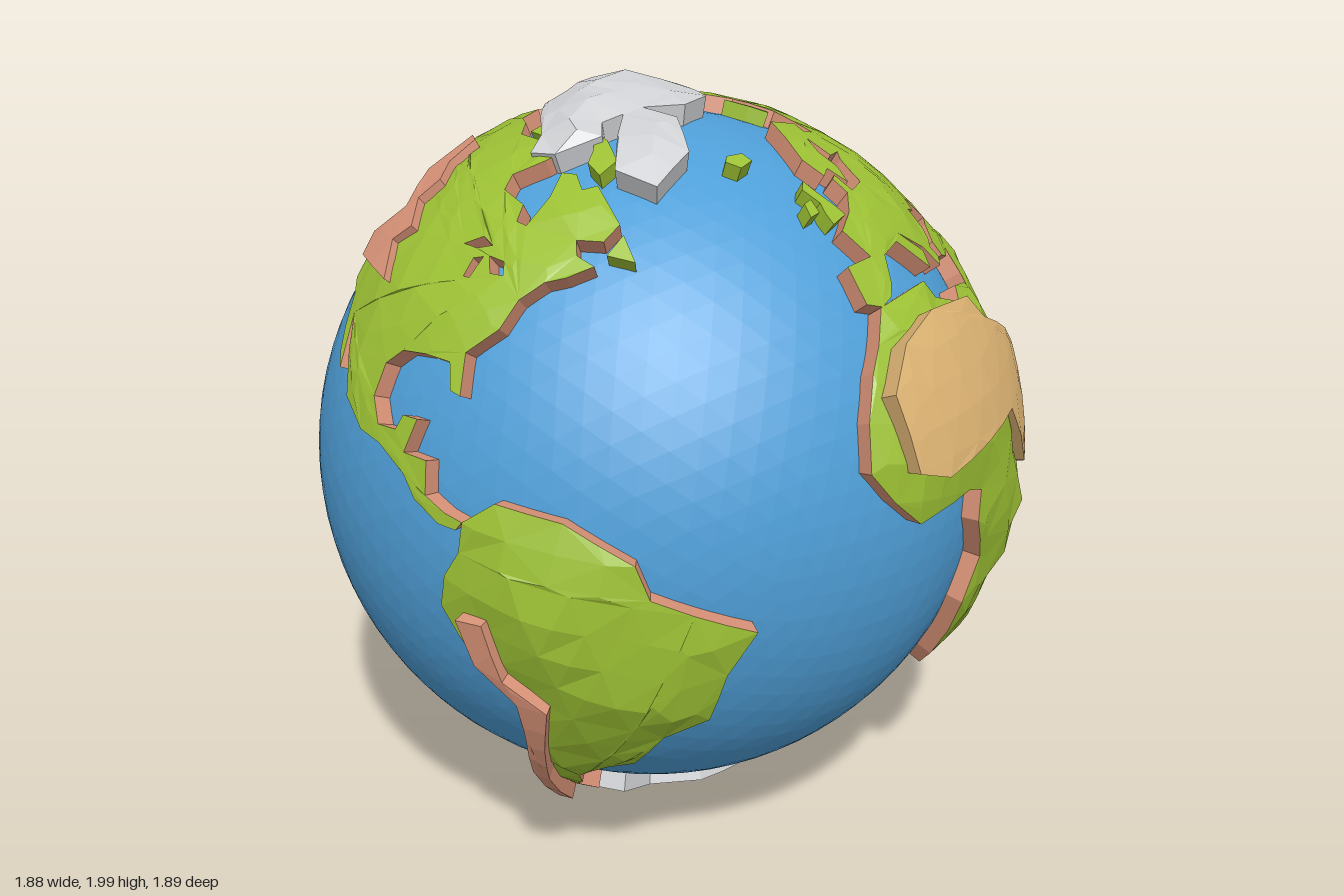
import * as THREE from 'three';

const OCEAN_R = 0.9, COAST_R = 0.945, MAX_EDGE = 0.15;
const mat = (name, color, side = THREE.FrontSide) =>
  Object.assign(new THREE.MeshStandardMaterial({ color, side }), { name });

// unit direction from longitude and latitude in degrees
function dir(lon, lat) {
  const a = lon * Math.PI / 180, b = lat * Math.PI / 180;
  return new THREE.Vector3(Math.cos(b) * Math.cos(a), Math.sin(b), -Math.cos(b) * Math.sin(a));
}
const pairs = (flat, fn) => Array.from({ length: flat.length / 2 }, (_, i) => fn(flat[2 * i], flat[2 * i + 1]));
const lonLat = flat => pairs(flat, dir);
// direction from flat x, z offsets around a pole
const polar = (flat, sign) => pairs(flat, (x, z) =>
  new THREE.Vector3(x, sign * Math.sqrt(0.9 - x * x - z * z), z).normalize());
const mid = (a, b) => a.clone().add(b).normalize();

// halve the longest edge until every edge is short
function split(a, b, c, out) {
  const l = [a.distanceTo(b), b.distanceTo(c), c.distanceTo(a)], m = Math.max(...l);
  if (m <= MAX_EDGE) { out.push(a, b, c); return; }
  const [p, q, r] = m === l[0] ? [a, b, c] : m === l[1] ? [b, c, a] : [c, a, b];
  const h = mid(p, q);
  split(p, h, r, out);
  split(h, q, r, out);
}
function splitEdge(a, b, out) {
  if (a.distanceTo(b) <= MAX_EDGE) { out.push(a); return; }
  const h = mid(a, b);
  splitEdge(a, h, out);
  splitEdge(h, b, out);
}
function flatMesh(points, material, name) {
  const g = new THREE.BufferGeometry().setFromPoints(points);
  g.computeVertexNormals();
  const m = new THREE.Mesh(g, material);
  m.name = name;
  return m;
}
const noise = p => Math.sin(9 * p.x + 4 * p.y) * Math.sin(11 * p.y + 3) * Math.cos(10 * p.z - 2 * p.x);

// raised patch of crust: faceted top, hilly away from the rim, with steep cliffs
function crust(name, outline, top, cliff, { rim = COAST_R, hills = 0, reach = 0.2, base = 0.885, holes = [] } = {}) {
  const centre = outline.reduce((s, p) => s.add(p), new THREE.Vector3()).normalize();
  const east = new THREE.Vector3(0.31, 0.9, 0.17).cross(centre).normalize();
  const north = centre.clone().cross(east);
  const flat = p => new THREE.Vector2(p.dot(east), p.dot(north)).divideScalar(1 + p.dot(centre));
  const loops = [outline, ...holes].map((loop, i) =>
    THREE.ShapeUtils.isClockWise(loop.map(flat)) === (i > 0) ? loop : [...loop].reverse());
  const all = loops.flat(), flats = loops.map(l => l.map(flat));
  const tris = [];
  for (const [i, j, k] of THREE.ShapeUtils.triangulateShape(flats[0], flats.slice(1))) {
    const [a, b, c] = [all[i], all[j], all[k]];
    const u = flat(b).sub(flat(a)), v = flat(c).sub(flat(a));
    if (u.cross(v) > 0) split(a, b, c, tris); else split(a, c, b, tris);
  }
  const rims = loops.map(l => {
    const out = [];
    l.forEach((p, i) => splitEdge(p, l[(i + 1) % l.length], out));
    return out;
  });
  const edge = rims.flat();
  const raise = p => {
    const d = Math.min(...edge.map(e => e.distanceTo(p)));
    return p.clone().multiplyScalar(rim + hills * Math.min(1, d / reach) * (0.8 + 0.5 * noise(p)));
  };
  const walls = [];
  for (const l of rims) l.forEach((p, i) => {
    const q = l[(i + 1) % l.length];
    const at = (v, r) => v.clone().multiplyScalar(r);
    walls.push(at(p, base), at(q, base), at(q, rim), at(p, base), at(q, rim), at(p, rim));
  });
  const g = new THREE.Group();
  g.name = name;
  g.add(flatMesh(tris.map(raise), top, name + 'Top'), flatMesh(walls, cliff, name + 'Cliffs'));
  return g;
}

// continents: outline as lon, lat pairs
const northAmerica = [-168, 66, -156, 71, -141, 69.5, -128, 70, -115, 68, -95, 68, -94, 71, -86, 68, -82, 68, -87, 64,
  -94, 60, -92, 57, -83, 55, -82, 52, -79, 51.5, -77, 57, -78, 62, -73, 62, -69, 59, -65, 60, -57, 53, -60, 50, -66, 50,
  -65, 47.5, -61, 46, -66, 44, -70, 43, -74, 40, -76, 35.5, -81, 31.5, -80, 25.5, -82, 26, -83.5, 29.8, -89, 30,
  -94, 29.5, -97, 27, -97.5, 22, -95, 18.5, -91, 18.7, -90, 21, -87, 21, -88.5, 16, -84, 15.8, -83.5, 11, -80, 9.3,
  -77, 8.5, -78, 7.2, -81, 7.5, -85.5, 10, -88, 13, -94, 16, -99, 16.7, -105, 20, -109, 26, -113, 31, -110, 23,
  -112, 25, -117, 33, -121, 35, -124, 40, -124, 48, -130, 54, -135, 59, -146, 60.5, -152, 60, -163, 55, -158, 58.5,
  -166, 62, -161, 64.5];
const lakes = [[-92, 46.8, -88, 48.6, -84.5, 47.5, -88, 46.6], [-87.7, 42, -86.2, 42, -85.3, 45.5, -87.5, 45],
  [-84, 45.8, -80, 45.3, -79, 43.2, -82, 43.2]];
const southAmerica = [-77, 8.5, -72, 12, -62, 10.5, -52, 5, -50, 0, -44, -2.5, -35, -6, -39, -13, -41, -22, -48, -26,
  -53, -34, -58, -36, -62, -39, -65, -42, -66, -47, -69, -51, -65, -55, -70, -55, -74, -51, -74, -42, -72, -33, -70, -18,
  -76, -14, -81, -5, -80, 0, -77.5, 4];
const africa = [-6, 36, 10, 37, 11, 34, 20, 31, 23, 33, 32, 31, 33, 28, 37, 20, 39, 15, 43, 12, 51, 12, 47, 4, 40, -3,
  39, -7, 40.5, -15, 35, -20, 35, -24, 32.5, -27, 28, -33, 20, -35, 17, -31, 12, -17, 13.5, -9, 9, -1, 9.5, 4, 5, 5.5,
  -4, 5, -8, 4.5, -13, 9, -17, 14, -16, 21, -13, 27.5, -10, 31];
const europe = [-9, 37, -9, 43, -1.5, 43.5, -4.5, 48.5, 2, 51, 8, 54, 8, 57, 10.5, 57.5, 11, 54, 19, 54.5, 21, 57,
  24, 59, 30, 60, 22, 60.5, 25, 65, 18, 62, 17, 58.5, 13, 55.5, 11, 59, 6, 58, 5, 62, 13, 67, 25, 71, 40, 67.5, 33, 66,
  39, 64.5, 46, 67.5, 60, 69, 58, 55, 52, 47, 47, 44, 49, 41, 41, 41.5, 38, 46.5, 33, 45, 30, 46, 28, 42.5, 26, 41,
  23, 40, 24, 38, 21.5, 37, 19, 41, 13, 45, 18, 40.5, 16, 38, 10, 44, 3, 43, 0, 39, -2, 37, -5.5, 36];
const middleEast = [41, 41.5, 49, 41, 49, 38, 54, 37, 61, 25, 57, 26, 49, 30, 51, 25, 56, 25, 59.5, 22, 52, 16, 44, 13,
  39, 21, 35, 28, 35, 32, 36, 36.5, 30, 36.5, 27, 37.5, 27, 40, 33, 42];
const asia = [60, 69, 69, 72.5, 80, 73, 104, 77.5, 113, 74, 140, 72.5, 160, 70, 180, 69, 190, 66, 178, 63, 170, 60,
  163, 58, 162, 55, 157, 51, 156, 58, 163, 62, 155, 59.5, 142, 59, 136, 54.5, 141, 51, 135, 43.5, 128, 40, 129, 36,
  126, 35, 125, 39, 118, 39, 122, 37, 119, 35, 122, 31, 119, 25, 110, 21, 106, 19, 109, 12, 105, 9, 100, 13, 103, 3,
  101, 3, 98, 9, 98, 16, 94, 17, 91, 22, 87, 21, 80, 15, 80, 10, 77.5, 8, 73, 18, 72, 21, 67, 25, 61, 25, 54, 37,
  53, 42, 52, 47, 58, 55];
const australia = [114, -22, 122, -18, 129, -15, 132, -11.5, 136, -12, 136, -15, 140, -17.5, 142, -11, 146, -19,
  153, -26, 150, -37, 145, -39, 138, -35, 132, -32, 124, -34, 115, -34.5];

const islands = {
  britain: [-5, 50, 1, 51, 0, 53, -2, 56, -3, 58.5, -6, 57, -4, 54, -5, 52],
  ireland: [-10, 52, -6.5, 52.5, -6, 55, -9, 54.5],
  iceland: [-24, 65, -22, 66.3, -15, 66.5, -14, 64.5, -20, 63.3],
  baffinIsland: [-80, 73, -70, 71, -62, 66, -66, 62.5, -72, 65, -73, 68],
  victoriaIsland: [-117, 72, -105, 73, -102, 69.5, -115, 69.5],
  newfoundland: [-59, 48, -56, 51.5, -53, 47],
  novayaZemlya: [52, 71, 56, 74, 68, 77, 60, 73.5, 57, 70.7],
  japan: [130, 32, 135, 34, 140, 35.5, 141, 39, 145, 43, 141.5, 45.5, 140, 42, 139, 38, 132, 35],
  sakhalin: [142, 46, 144, 49, 143, 54, 141.5, 52],
  taiwan: [120, 22.5, 121.5, 22.5, 122, 25.5, 120.5, 24.5],
  sriLanka: [80, 6, 82, 7, 80.5, 9.7],
  sumatra: [95, 5.5, 104, -2, 106, -6, 102, -4],
  java: [105.5, -6, 114, -7, 114.5, -8.7, 106, -7.6],
  borneo: [109, 1, 113, 3, 117, 7, 119, 5, 116, -4, 110, -3],
  sulawesi: [119, -5, 120, 1, 125, 1.5, 121, 0, 123, -4, 121, -2.5],
  timor: [118, -8.3, 127, -8.3, 124, -10.3, 119, -9.5],
  luzon: [120, 14, 124, 12.5, 122, 18.5, 120.5, 18],
  mindanao: [122, 7, 125.5, 6, 126, 10, 123.5, 9],
  newGuinea: [131, -1, 138, -2, 145, -5, 150, -10, 143, -9, 138, -8, 133, -4],
  newBritain: [149, -6, 153, -4, 152, -6],
  tasmania: [145, -41, 148, -41, 147, -43.5],
  northIsland: [173, -35, 178, -38, 175, -41.5, 174, -39],
  southIsland: [172.5, -40.5, 174, -42, 169, -46.7, 166.5, -46],
};
const arcticIce = [-.285, -.1, -.2, -.17, -.12, -.19, -.03, -.18, .03, -.13, .11, -.08, .14, .04, .08, .13, .18, .12,
  .3, .22, .32, .36, .21, .38, .13, .28, .07, .19, .055, .25, .1, .3, .04, .4, -.03, .41, -.06, .34, -.15, .25,
  -.25, .13, -.285, .03];
const antarcticIce = [-.3, 0, -.28, .15, -.15, .22, 0, .24, .08, .28, .14, .4, .22, .38, .2, .25, .3, .15, .33, 0,
  .3, -.2, .2, -.3, .05, -.37, -.12, -.35, -.25, -.22];

export function createModel() {
  const sea = mat('ocean blue', 0x4f9fd8), grass = mat('grass green', 0x9cc034);
  const rock = mat('rock salmon', 0xd99378), sand = mat('desert sand', 0xdfb574), ice = mat('ice grey', 0xd0d2d5);
  const globe = new THREE.Group();
  globe.name = 'globe';
  globe.position.set(-0.05, 1, 0);

  // faceted ocean ball
  const ball = new THREE.IcosahedronGeometry(OCEAN_R, 14);
  ball.computeVertexNormals();
  const ocean = new THREE.Mesh(ball, sea);
  ocean.name = 'ocean';
  globe.add(ocean);

  const land = (name, pts, options) => globe.add(crust(name, lonLat(pts), grass, rock, options));
  land('northAmerica', northAmerica, { hills: 0.015, holes: lakes.map(lonLat) });
  land('southAmerica', southAmerica, { hills: 0.045 });
  land('africa', africa, { hills: 0.05 });
  land('europe', europe, { hills: 0.012 });
  land('middleEast', middleEast, { hills: 0.03 });
  land('asia', asia, { hills: 0.04, reach: 0.4 });
  land('australia', australia, { hills: 0.025 });
  for (const [name, pts] of Object.entries(islands)) globe.add(crust(name, lonLat(pts), grass, grass, { rim: 0.94 }));

  // mountain and desert plateaus standing on the land
  const plateau = (name, pts, material, rim) =>
    globe.add(crust(name, lonLat(pts), material, material, { rim, base: 0.93 }));
  plateau('rockies', [-131, 62, -124, 62, -120, 57, -114, 54, -115, 50, -108, 46, -111, 43, -105, 37.5, -119, 38.5,
    -122, 42, -117, 48, -127, 54], rock, 0.972);
  plateau('andes', [-77, -5, -73, -5, -71, -14, -65, -19, -67, -28, -69, -38, -70, -52, -72.5, -50, -71.5, -36,
    -69.5, -25, -69.5, -18, -75, -12], rock, 0.985);
  plateau('sahara', [-13, 24, -8, 30, 1, 33, 14, 32, 17, 28, 28, 23, 36, 16, 38, 11, 32, 0, 25, 3, 17, 14, -5, 11,
    -11, 13], sand, 1.0);
  plateau('eastAfricanRidge', [38, 13, 42, 9, 40, 5, 37, 8], rock, 0.99);
  plateau('tibet', [84, 47, 79, 39, 83, 32, 84, 25, 98, 22, 106, 34, 110, 42, 95, 39], rock, 1.015);
  plateau('eastAsianRidge', [118, 39.5, 118, 43.5, 126, 45, 135, 44.5, 134.5, 43, 128, 40.2, 125, 39.2], rock, 0.968);
  plateau('outback', [117, -23, 123, -20, 137, -20, 138, -27, 133, -31, 118, -31], rock, 0.975);

  // polar ice
  globe.add(crust('arcticIce', polar(arcticIce, 1), ice, ice, { rim: 0.955, hills: 0.045, reach: 0.15 }));
  globe.add(crust('antarcticIce', polar(antarcticIce, -1), ice, ice, { rim: 0.955, hills: 0.02 }));
  globe.add(crust('antarcticPlateau', polar([-.14, .02, -.04, .13, .12, .13, .19, 0, .08, -.14, -.06, -.12], -1),
    ice, ice, { rim: 1.0, base: 0.94 }));

  const model = new THREE.Group();
  model.name = 'worldGlobe';
  model.add(globe);
  return model;
}
